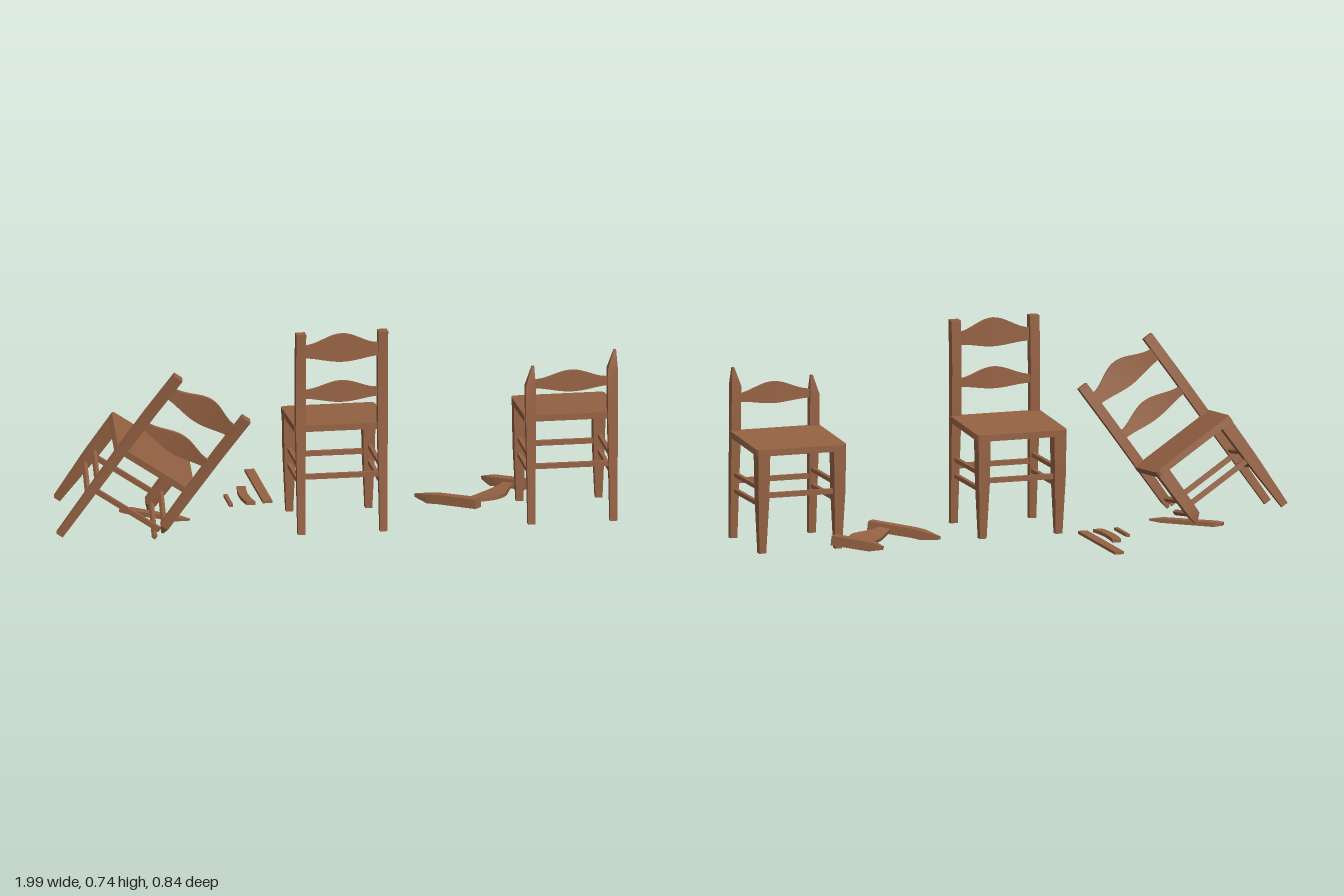
import * as THREE from 'three';
import { toCreasedNormals } from 'three/addons/utils/BufferGeometryUtils.js';

const wood = new THREE.MeshStandardMaterial({ color: 0x956243 });
wood.name = 'brown wood';

function add(parent, name, geometry, x = 0, y = 0, z = 0) {
  const mesh = new THREE.Mesh(geometry, wood);
  mesh.name = name;
  mesh.position.set(x, y, z);
  parent.add(mesh);
  return mesh;
}

// Skin a run of four-cornered rings, closed at both ends
function loft(rings) {
  const pos = [];
  const quad = (a, b, c, d) => pos.push(...a, ...b, ...c, ...a, ...c, ...d);
  for (let i = 0; i + 1 < rings.length; i++) {
    for (let k = 0; k < 4; k++) {
      const n = (k + 1) % 4;
      quad(rings[i][k], rings[i][n], rings[i + 1][n], rings[i + 1][k]);
    }
  }
  quad(...[...rings[0]].reverse());
  quad(...rings[rings.length - 1]);
  const g = new THREE.BufferGeometry();
  g.setAttribute('position', new THREE.Float32BufferAttribute(pos, 3));
  return toCreasedNormals(g, 0.5);
}

// Upright stick from sections [y, centre x, centre z, width, depth]
function stick(sections) {
  return loft(sections.map(([y, x, z, w, d]) => [
    [x - w / 2, y, z + d / 2], [x + w / 2, y, z + d / 2],
    [x + w / 2, y, z - d / 2], [x - w / 2, y, z - d / 2],
  ]));
}

// Keep the stretch from y0 to y1 of a stick; a spike adds a splintered end
function cut(profile, y0, y1, spikeLow = 0, spikeHigh = 0) {
  const at = (y) => {
    let i = 0;
    while (i < profile.length - 2 && profile[i + 1][0] < y) i++;
    const a = profile[i], b = profile[i + 1];
    const t = (y - a[0]) / (b[0] - a[0]);
    return a.map((v, k) => v + (b[k] - v) * t);
  };
  const tip = ([y, x, z, w, d], h) => [y + h, x + w * 0.28, z - d * 0.15, 0.008, d * 0.35];
  const s = [at(y0), ...profile.filter((p) => p[0] > y0 && p[0] < y1), at(y1)];
  if (spikeLow) s.unshift(tip(s[0], -spikeLow));
  if (spikeHigh) s.push(tip(s[s.length - 1], spikeHigh));
  return stick(s);
}

const backPost = (x) => [
  [0, x, 0.35, 0.026, 0.022], [0.38, x, 0.328, 0.035, 0.029],
  [0.56, x, 0.326, 0.035, 0.033], [0.73, x, 0.335, 0.035, 0.035],
];
const frontLeg = (x) => [
  [0, x, 0.0525, 0.025, 0.024], [0.2, x, 0.05, 0.04, 0.046], [0.358, x, 0.05, 0.045, 0.05],
];

// Bowed slat that swells in the middle
function slat(endLow, endHigh, midLow, midHigh, zEnd, zMid) {
  const rings = [];
  for (let i = 0; i <= 16; i++) {
    const u = i / 8 - 1;
    const x = u * 0.136;
    const swell = 0.5 + 0.5 * Math.cos(Math.PI * u);
    const lo = endLow + (midLow - endLow) * swell;
    const hi = endHigh + (midHigh - endHigh) * swell;
    const z = zEnd + (zMid - zEnd) * (1 - u * u);
    const h = 0.006;
    rings.push([[x, lo, z + h], [x, lo, z - h], [x, hi, z - h], [x, hi, z + h]]);
  }
  return loft(rings);
}
const topSlat = () => slat(0.64, 0.685, 0.625, 0.727, 0.332, 0.345);
const lowSlat = () => slat(0.49, 0.52, 0.476, 0.553, 0.324, 0.337);

// Rounded seat board, sloping down away from the backrest
function seatGeometry() {
  const w = 0.167, z0 = 0.02, z1 = 0.328, r = 0.02;
  const s = new THREE.Shape();
  s.moveTo(-w, z1);
  s.lineTo(-w, z0 + r);
  s.quadraticCurveTo(-w, z0, -w + r, z0);
  s.lineTo(w - r, z0);
  s.quadraticCurveTo(w, z0, w, z0 + r);
  s.lineTo(w, z1);
  s.closePath();
  const g = new THREE.ExtrudeGeometry(s, { depth: 0.023, bevelEnabled: false, curveSegments: 5 });
  g.rotateX(Math.PI / 2);
  const p = g.attributes.position;
  for (let i = 0; i < p.count; i++) p.setY(i, p.getY(i) + 0.375 + (p.getZ(i) - z0) * 0.048);
  g.computeVertexNormals();
  return toCreasedNormals(g, 0.6);
}

// One chair; posts and legs take [from, to, low spike, high spike]
function chair(name, { posts = {}, legs = {}, top = true } = {}) {
  const g = new THREE.Group();
  g.name = name;
  add(g, 'seat', seatGeometry());
  for (const side of [-1, 1]) {
    add(g, 'backPost', cut(backPost(side * 0.146), ...(posts[side] || [0, 0.73])));
    add(g, 'frontLeg', cut(frontLeg(side * 0.141), ...(legs[side] || [0, 0.358])));
    for (const y of [0.172, 0.23]) {
      add(g, 'sideRung', new THREE.BoxGeometry(0.014, 0.015, 0.285), side * 0.143, y, 0.193);
    }
  }
  for (const z of [0.05, 0.337]) {
    add(g, 'crossRung', new THREE.BoxGeometry(0.28, 0.018, 0.014), 0, 0.206, z);
  }
  add(g, 'lowerSlat', lowSlat());
  if (top) add(g, 'upperSlat', topSlat());
  return g;
}

// Turn a group to the given x and y axes and bring a local point to a target
function place(group, xAxis, yAxis, local, target) {
  const x = new THREE.Vector3(...xAxis).normalize();
  const z = x.clone().cross(new THREE.Vector3(...yAxis)).normalize();
  const y = z.clone().cross(x);
  group.quaternion.setFromRotationMatrix(new THREE.Matrix4().makeBasis(x, y, z));
  const moved = new THREE.Vector3(...local).applyQuaternion(group.quaternion);
  group.position.set(...target).sub(moved);
}

export function createModel() {
  const model = new THREE.Group();
  model.name = 'brokenChairs';

  // Whole chair in the middle
  const whole = chair('wholeChair');
  whole.position.x = 0.009;

  // Chair with its backrest snapped off
  const snapped = chair('snappedChair', {
    posts: { [-1]: [0, 0.5, 0, 0.07], 1: [0, 0.55, 0, 0.066] },
    top: false,
  });
  snapped.position.x = 0.8285;

  // Toppled chair resting on two broken legs
  const toppled = chair('toppledChair', {
    posts: { 1: [0.225, 0.73, 0.025, 0] },
    legs: { 1: [0.165, 0.358, 0.025, 0] },
  });
  place(toppled, [0.83, -0.56, 0], [0.56, 0.8, 0.2], [-0.146, 0, 0.35], [-0.985, 0.016, 0.27]);

  // Loose top of the backrest lying on the floor
  const backrest = new THREE.Group();
  backrest.name = 'looseBackrest';
  add(backrest, 'brokenPost', cut(backPost(-0.146), 0.52, 0.73, 0.07, 0));
  add(backrest, 'brokenPost', cut(backPost(0.146), 0.58, 0.73, 0.05, 0));
  add(backrest, 'upperSlat', topSlat());
  place(backrest, [0.707, 0, -0.707], [0.7, 0.12, 0.7], [-0.146, 0.73, 0.335], [0.515, 0.042, 0.207]);

  // Broken leg piece under the toppled chair
  const legPiece = add(model, 'brokenLegPiece', stick([
    [-0.135, 0.008, 0, 0.008, 0.006], [-0.09, 0, 0, 0.032, 0.015],
    [0.11, 0, 0, 0.038, 0.016], [0.135, -0.008, 0, 0.024, 0.01],
  ]));
  place(legPiece, [0.63, 0, -0.77], [-0.77, 0, -0.63], [0, 0, 0], [-0.61, 0.009, 0.058]);

  // Loose strips on the floor
  add(model, 'longStrip', new THREE.BoxGeometry(0.034, 0.01, 0.4), -0.197, 0.014, -0.222);
  add(model, 'narrowStrip', new THREE.BoxGeometry(0.014, 0.01, 0.13), -0.33, 0.013, -0.065);
  const bowed = [];
  for (let i = 0; i <= 8; i++) {
    const t = i / 8;
    bowed.push([t * 0.2, 0.016 * (2 * t - 1) ** 2 * (t < 0.5 ? 0.7 : 0.5), 0, 0.032, 0.012]);
  }
  const strip = add(model, 'bowedStrip', stick(bowed));
  place(strip, [1, 0, 0], [0, 0, -1], [0, 0, 0], [-0.268, 0.014, -0.012]);

  model.add(whole, snapped, toppled, backrest);
  return model;
}
